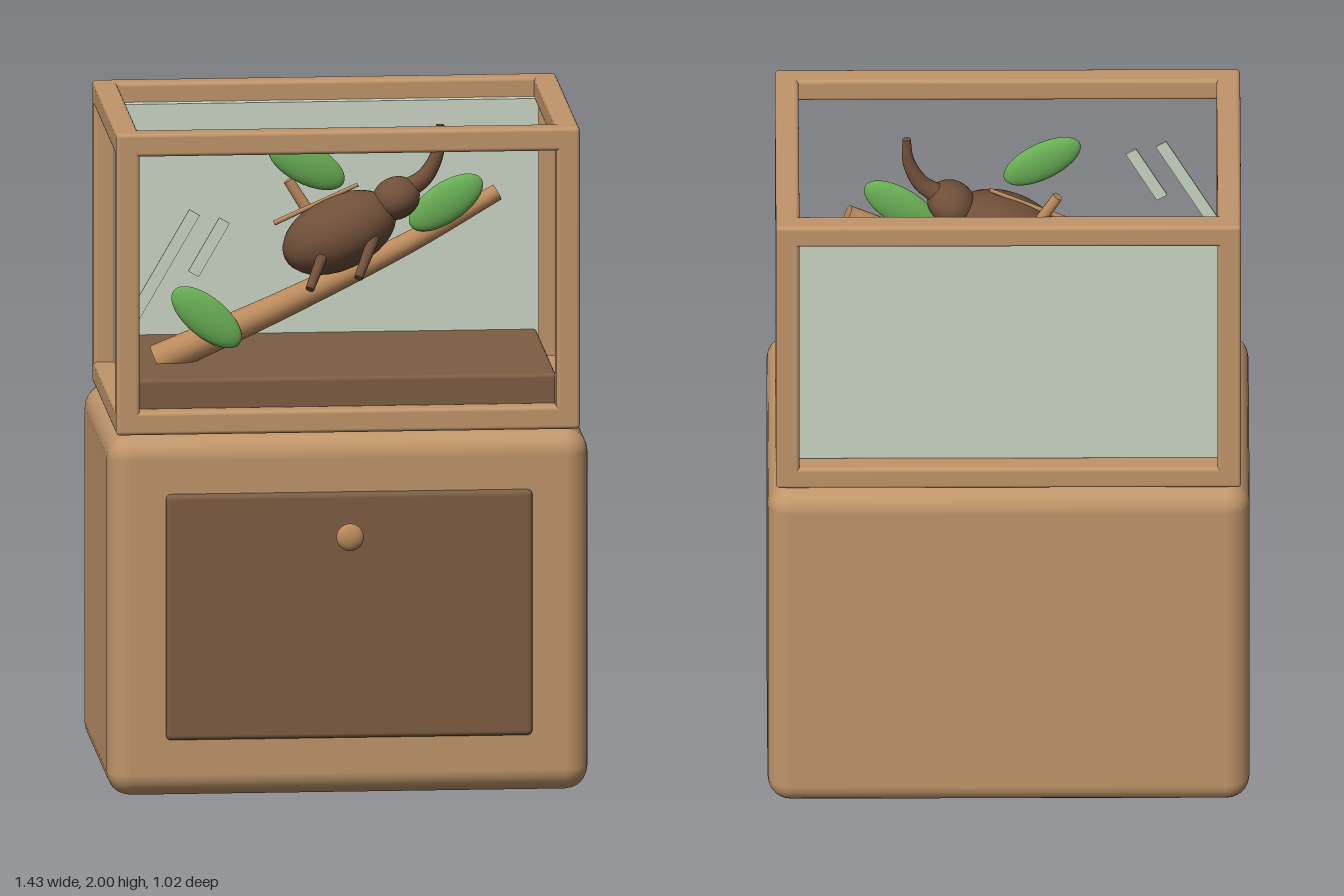
import * as THREE from 'three';
import { RoundedBoxGeometry } from 'three/addons/geometries/RoundedBoxGeometry.js';

const mat = (name, color) => {
  const m = new THREE.MeshStandardMaterial({ color });
  m.name = name;
  return m;
};

const V = (p) => new THREE.Vector3(...p);

// Tube along a smooth path whose radius shrinks from r0 to r1, with closed ends
function taperedTube(points, r0, r1, segments = 20, sides = 14) {
  const curve = new THREE.CatmullRomCurve3(points.map(V));
  const frames = curve.computeFrenetFrames(segments);
  const pos = [], index = [];
  for (let i = 0; i <= segments; i++) {
    const t = i / segments, c = curve.getPointAt(t), r = r0 + (r1 - r0) * t;
    for (let j = 0; j < sides; j++) {
      const a = (j / sides) * Math.PI * 2;
      const p = c.clone()
        .addScaledVector(frames.normals[i], r * Math.cos(a))
        .addScaledVector(frames.binormals[i], r * Math.sin(a));
      pos.push(p.x, p.y, p.z);
      if (i < segments) {
        const k = i * sides + j, n = i * sides + ((j + 1) % sides);
        index.push(k, n, k + sides, n, n + sides, k + sides);
      }
    }
  }
  // End caps use their own vertices so the rims stay sharp
  for (const [ring, t] of [[0, 0], [segments, 1]]) {
    const base = pos.length / 3, c = curve.getPointAt(t);
    for (let j = 0; j < sides; j++) {
      const o = (ring * sides + j) * 3;
      pos.push(pos[o], pos[o + 1], pos[o + 2]);
    }
    pos.push(c.x, c.y, c.z);
    for (let j = 0; j < sides; j++) {
      const a = base + j, b = base + ((j + 1) % sides), m = base + sides;
      if (t === 0) index.push(m, b, a);
      else index.push(m, a, b);
    }
  }
  const g = new THREE.BufferGeometry();
  g.setAttribute('position', new THREE.Float32BufferAttribute(pos, 3));
  g.setIndex(index);
  g.computeVertexNormals();
  return g;
}

export function createModel() {
  const model = new THREE.Group();
  model.name = 'beetleTerrarium';
  const wood = mat('lightWood', 0xc0956a);
  const dark = mat('darkWood', 0x7d5d43);
  const shell = mat('beetleBrown', 0x6f4f39);
  const bark = mat('bark', 0xbb8a5c);
  const green = mat('leafGreen', 0x69ae55);
  const glass = mat('paleGlass', 0xcad6c4);

  const add = (name, geometry, material, position = [0, 0, 0], parent = model) => {
    const mesh = new THREE.Mesh(geometry, material);
    mesh.name = name;
    mesh.position.set(...position);
    parent.add(mesh);
    return mesh;
  };
  // Rounded box given by its low and high corners
  const box = (name, lo, hi, radius, material, parent = model) => {
    const s = hi.map((h, i) => h - lo[i]);
    return add(name, new RoundedBoxGeometry(...s, 3, radius), material, hi.map((h, i) => (h + lo[i]) / 2), parent);
  };
  const ellipsoid = (name, radii, position, angle, material, parent = model) => {
    const mesh = add(name, new THREE.SphereGeometry(1, 28, 18), material, position, parent);
    mesh.scale.set(...radii);
    mesh.rotation.z = angle;
    return mesh;
  };
  // Straight round stick between two points
  const stick = (name, a, b, r0, r1, material, parent = model) => {
    const from = V(a), to = V(b), d = to.clone().sub(from);
    const mesh = add(name, new THREE.CylinderGeometry(r1, r0, d.length(), 12), material,
      from.clone().add(to).multiplyScalar(0.5).toArray(), parent);
    mesh.quaternion.setFromUnitVectors(new THREE.Vector3(0, 1, 0), d.normalize());
    return mesh;
  };

  // Cabinet with a front door and knob
  box('cabinet', [-0.715, 0, -0.51], [0.715, 1.088, 0.445], 0.07, wood);
  box('door', [-0.545, 0.177, 0.42], [0.545, 0.917, 0.468], 0.015, dark);
  ellipsoid('knob', [0.041, 0.041, 0.022], [0, 0.787, 0.487], 0, bark);

  // Open frame: four posts, four long rails, four side rails
  const frame = new THREE.Group();
  frame.name = 'tankFrame';
  model.add(frame);
  const X = 0.69, Y0 = 1.09, Y1 = 2, Z0 = -0.48, Z1 = 0.42, T = 0.07, R = 0.012;
  for (const x of [-X, X - T]) {
    for (const z of [Z0, Z1 - T]) box('post', [x, Y0, z], [x + T, Y1, z + T], R, wood, frame);
    for (const y of [Y0, Y1 - T]) box('sideRail', [x, y, Z0], [x + T, y + T, Z1], R, wood, frame);
  }
  for (const y of [Y0, Y1 - T])
    for (const z of [Z0, Z1 - T]) box('longRail', [-X, y, z], [X, y + T, z + T], R, wood, frame);

  // Soil bed and back pane
  box('soil', [-0.625, 1.1, -0.385], [0.625, 1.247, 0.355], 0.012, dark);
  add('backPane', new THREE.BoxGeometry(1.26, 0.79, 0.037), glass, [0, 1.547, -0.394]);

  // Slanted glints in the front opening
  for (const [x, y, length] of [[-0.545, 1.6, 0.36], [-0.412, 1.65, 0.185]]) {
    const glint = add('glint', new THREE.BoxGeometry(0.036, length, 0.006), glass, [x, y, 0.388]);
    glint.rotation.z = -Math.PI / 6;
  }

  // Branch with leaves and twigs
  add('branch', taperedTube([[-0.54, 1.245, 0.05], [-0.2, 1.4, 0.075], [0.2, 1.59, 0.06], [0.475, 1.737, 0.03]],
    0.05, 0.025, 28), bark);
  const leaves = [
    [[-0.397, 1.388, 0.115], -0.7, -0.06],
    [[-0.102, 1.85, 0.138], -0.5, 0.06],
    [[0.317, 1.72, 0.095], 0.6, -0.06],
  ];
  for (const [position, angle, yaw] of leaves)
    ellipsoid('leaf', [0.127, 0.06, 0.026], position, angle, green).rotation.y = yaw;
  stick('thinTwig', [-0.195, 1.665, 0.095], [0.055, 1.778, 0.095], 0.008, 0.006, bark);
  stick('stubTwig', [-0.07, 1.66, 0.045], [-0.148, 1.785, 0.045], 0.018, 0.016, bark);

  // Beetle: body, head, horn and four legs
  const beetle = new THREE.Group();
  beetle.name = 'beetle';
  model.add(beetle);
  const cz = 0.094;
  ellipsoid('body', [0.18, 0.11, 0.128], [0, 1.634, cz], 0.44, shell, beetle);
  ellipsoid('head', [0.073, 0.063, 0.077], [0.168, 1.735, cz], 0.44, shell, beetle);
  add('horn', taperedTube([[0.19, 1.755, cz], [0.255, 1.8, cz], [0.295, 1.88, cz], [0.3, 1.955, cz]], 0.032, 0.012),
    shell, [0, 0, 0], beetle);
  for (const side of [-1, 1])
    for (const [x, y] of [[-0.05, 1.6], [0.095, 1.632]])
      stick('leg', [x, y, cz + side * 0.085], [x - 0.052, y - 0.105, cz + side * 0.17], 0.018, 0.013, shell, beetle);

  return model;
}
